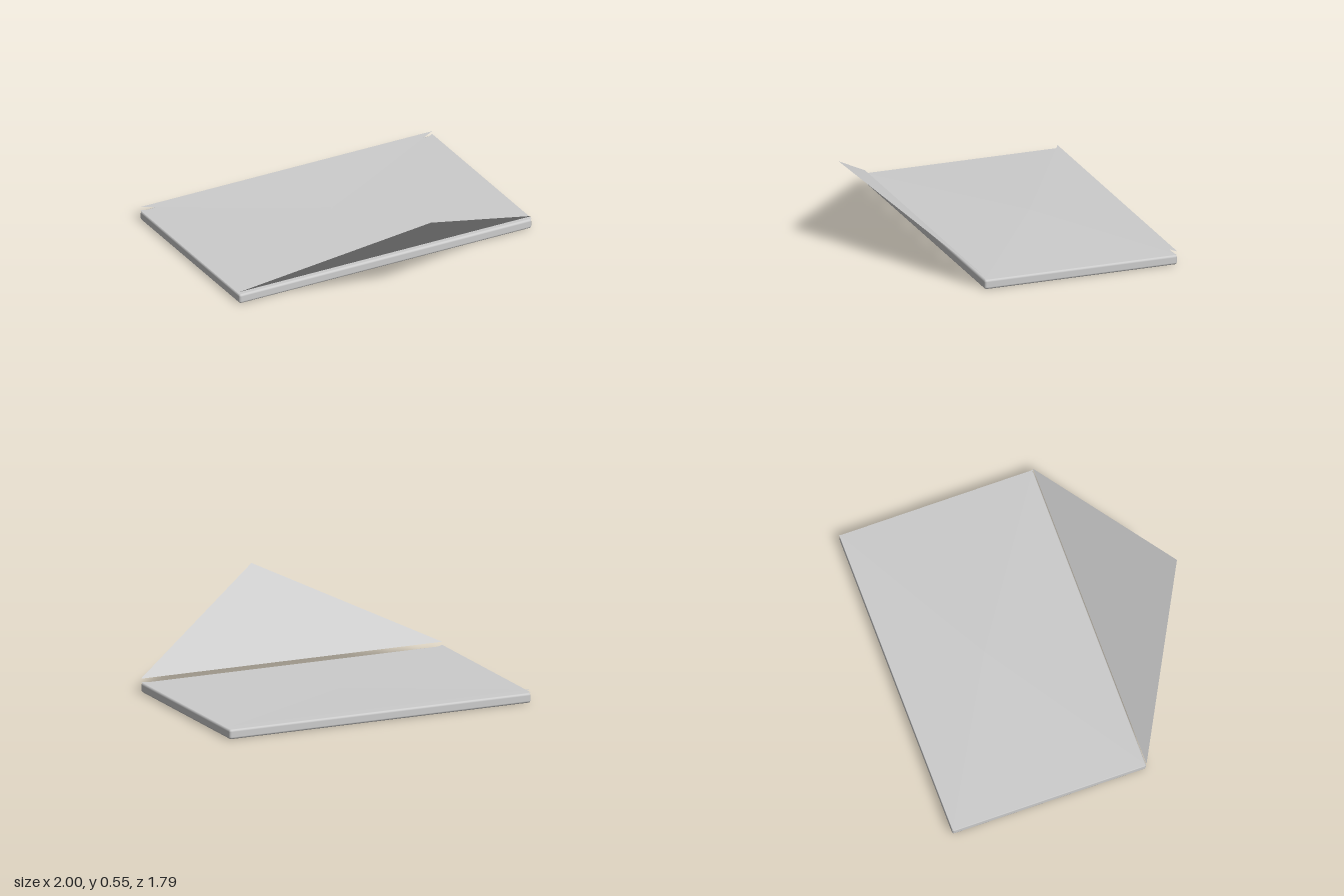
import * as THREE from 'three';
import { RoundedBoxGeometry } from 'three/addons/geometries/RoundedBoxGeometry.js';

const BACK = -0.895, FRONT = 0.34, FOLD_Z = -0.33;

export function createModel() {
  const group = new THREE.Group();
  group.name = 'envelope';
  const paper = new THREE.MeshStandardMaterial({ color: 0xcccccc, side: THREE.DoubleSide });
  paper.name = 'grey paper';

  const add = (name, geometry) => {
    const mesh = new THREE.Mesh(geometry, paper);
    mesh.name = name;
    group.add(mesh);
    return mesh;
  };

  // A paper-thin triangular flap: two hinge corners and a tip, counter-clockwise from above
  const addFlap = (name, a, b, tip) => {
    const g = new THREE.BufferGeometry();
    g.setAttribute('position', new THREE.Float32BufferAttribute([...a, ...b, ...tip], 3));
    g.setIndex([0, 1, 2]);
    g.computeVertexNormals();
    return add(name, g);
  };

  // Slab body with softened edges
  const body = add('body', new RoundedBoxGeometry(2, 0.06, FRONT - BACK, 2, 0.014));
  body.position.set(0, 0.03, (FRONT + BACK) / 2);

  // Side flaps, rising slightly toward the middle
  addFlap('leftFlap', [1, 0.064, FRONT], [1, 0.064, BACK], [0, 0.085, FOLD_Z]);
  addFlap('rightFlap', [-1, 0.064, BACK], [-1, 0.064, FRONT], [0, 0.085, FOLD_Z]);

  // Bottom flap folded inward, dipping slightly at its tip
  addFlap('bottomFlap', [1, 0.083, BACK], [-1, 0.083, BACK], [0, 0.075, FOLD_Z]);

  // Open closing flap, tilted up and outward
  addFlap('openFlap', [-1, 0.083, FRONT], [0, 0.553, 0.895], [1, 0.083, FRONT]);

  return group;
}
